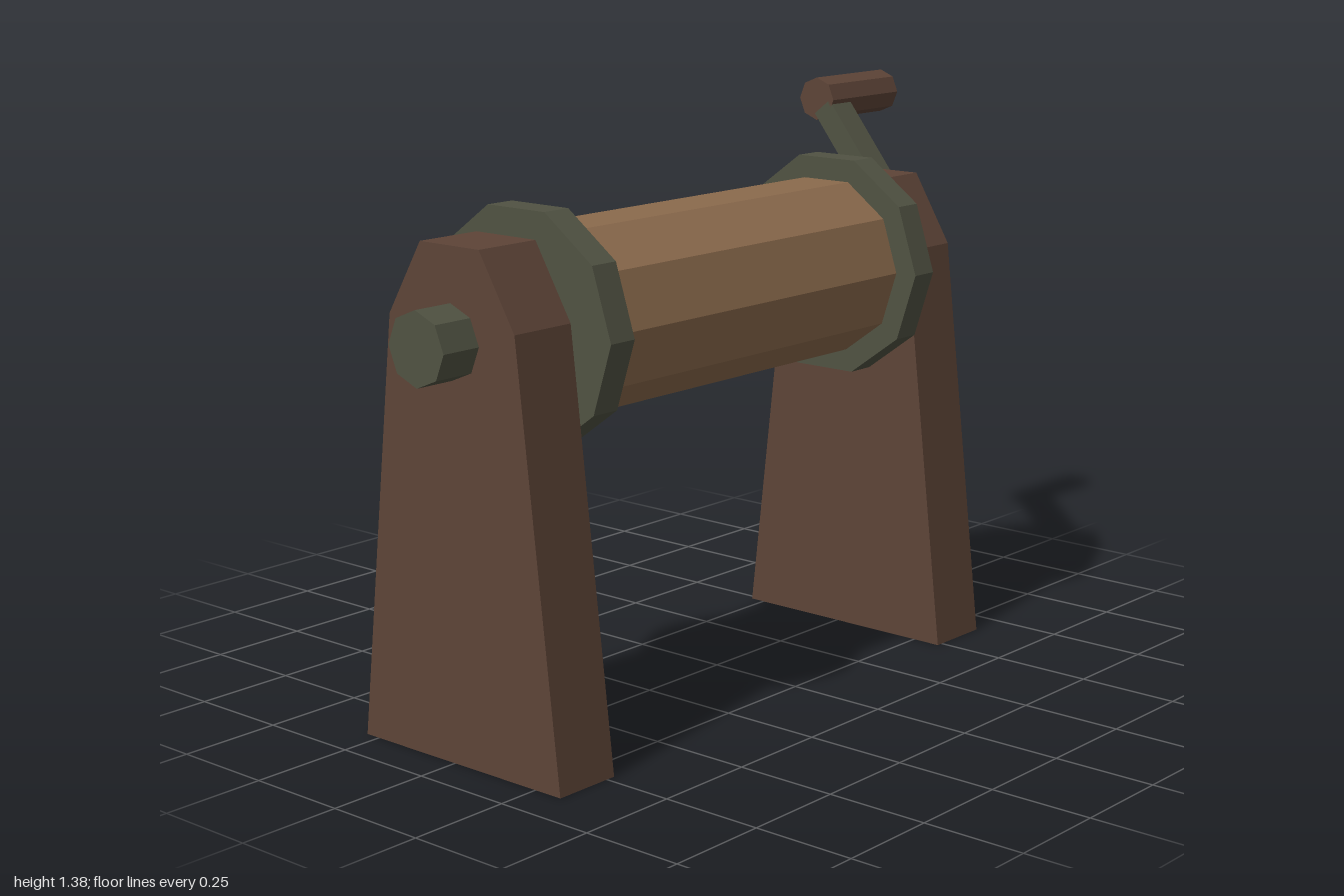
import * as THREE from 'three';

const AXIS_Y = 0.96, AXIS_Z = 0.018;

export function createModel() {
  const group = new THREE.Group();
  const flat = (name, color) => {
    const m = new THREE.MeshStandardMaterial({ color, flatShading: true });
    m.name = name;
    return m;
  };
  const darkWood = flat('dark wood', 0x5d4437);
  const lightWood = flat('light wood', 0x8b6a4c);
  const metal = flat('dull metal', 0x505242);

  const add = (name, geometry, material) => {
    const mesh = new THREE.Mesh(geometry, material);
    mesh.name = name;
    group.add(mesh);
    return mesh;
  };

  // Faceted rod lying along x from x0 to x1
  const rod = (name, x0, x1, radius, sides, material, y = AXIS_Y, z = AXIS_Z) => {
    const g = new THREE.CylinderGeometry(radius, radius, x1 - x0, sides);
    g.rotateZ(-Math.PI / 2);
    add(name, g, material).position.set((x0 + x1) / 2, y, z);
  };

  // Tapered posts with chamfered tops; the outline is half-width against height
  const half = [[0.307, 0], [0.192, 1.0], [0.09, 1.17]];
  const outline = new THREE.Shape([
    ...half.map(([w, y]) => new THREE.Vector2(w, y)),
    ...half.slice().reverse().map(([w, y]) => new THREE.Vector2(-w, y)),
  ]);
  for (const [name, x] of [['rightPost', -0.897], ['leftPost', 0.483]]) {
    const g = new THREE.ExtrudeGeometry(outline, { depth: 0.17, bevelEnabled: false });
    g.rotateY(Math.PI / 2);
    add(name, g, darkWood).position.set(x, 0, AXIS_Z);
  }

  // Axle, drum and its two flanges
  rod('axle', -1, 0.76, 0.085, 8, metal);
  rod('drum', -0.63, 0.41, 0.222, 10, lightWood);
  rod('rightFlange', -0.695, -0.62, 0.28, 10, metal);
  rod('leftFlange', 0.397, 0.47, 0.28, 10, metal);

  // Crank arm leaning back from the axle towards the grip
  const gripY = 1.325, gripZ = -0.27;
  const lean = Math.atan2(gripZ - AXIS_Z, gripY - AXIS_Y);
  const length = 0.44;
  const armGeometry = new THREE.BoxGeometry(0.08, length, 0.062);
  armGeometry.translate(0, length / 2, 0);
  const arm = add('crankArm', armGeometry, metal);
  arm.position.set(0.76, AXIS_Y, AXIS_Z + 0.003);
  arm.rotation.x = lean;

  // Grip
  rod('crankGrip', 0.72, 1, 0.056, 8, darkWood, gripY, gripZ);

  return group;
}
